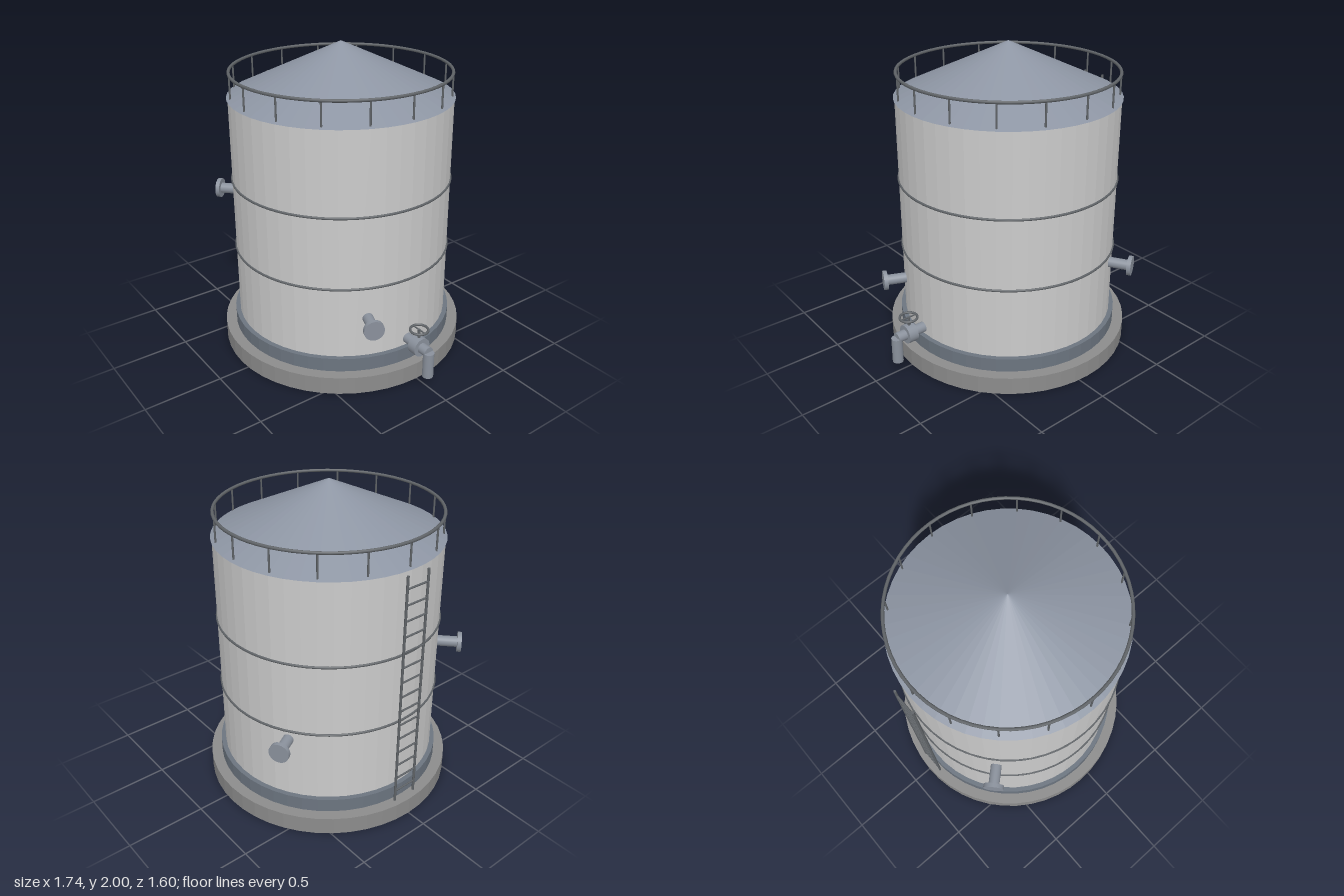
import * as THREE from 'three';

const CX = -0.07; // tank axis
const mat = (color, flatShading = false) => new THREE.MeshStandardMaterial({ color, flatShading });
const shellMat = mat(0xcccccc, true);
const baseMat = mat(0x8c8c8c, true);
const roofMat = mat(0x8d95a3, true);
const curbMat = mat(0x6c7580, true);
const pipeMat = mat(0x8a919c);
const railMat = mat(0x606468);

function add(parent, name, geometry, material, x = 0, y = 0, z = 0) {
  const mesh = new THREE.Mesh(geometry, material);
  mesh.name = name;
  mesh.position.set(x, y, z);
  parent.add(mesh);
  return mesh;
}

// Upright cylinder between two heights
function drum(parent, name, r, y0, y1, material, x = 0, z = 0, sides = 48) {
  return add(parent, name, new THREE.CylinderGeometry(r, r, y1 - y0, sides), material, x, (y0 + y1) / 2, z);
}

// Cylinder lying along x
function lying(parent, name, r, x0, x1, material, y = 0, sides = 20) {
  const geometry = new THREE.CylinderGeometry(r, r, x1 - x0, sides).rotateZ(Math.PI / 2);
  return add(parent, name, geometry, material, (x0 + x1) / 2, y, 0);
}

// Horizontal ring
function ring(parent, name, r, tube, y, material, x = 0, segments = 64) {
  return add(parent, name, new THREE.TorusGeometry(r, tube, 8, segments).rotateX(Math.PI / 2), material, x, y, 0);
}

export function createModel() {
  const model = new THREE.Group();
  model.name = 'storageTank';
  const tank = new THREE.Group();
  tank.name = 'tank';
  tank.position.x = CX;
  model.add(tank);

  // Foundation, curb, shell and conical roof
  drum(tank, 'foundation', 0.8, 0, 0.115, baseMat);
  drum(tank, 'curb', 0.73, 0.115, 0.205, curbMat);
  drum(tank, 'shell', 0.7, 0.205, 1.67, shellMat);
  add(tank, 'roof', new THREE.ConeGeometry(0.708, 0.33, 48), roofMat, 0, 1.835, 0);

  // Stiffening bands
  for (const y of [0.675, 1.14]) ring(tank, 'band', 0.701, 0.008, y, railMat);

  // Guard rail
  ring(tank, 'guardRail', 0.685, 0.01, 1.826, railMat);
  for (let i = 0; i < 16; i++) {
    const a = (i / 16) * Math.PI * 2;
    drum(tank, 'railPost', 0.006, 1.672, 1.826, railMat, 0.685 * Math.cos(a), 0.685 * Math.sin(a), 8);
  }

  // Flanged nozzles: [angle from +x towards +z, height]
  for (const [angle, y] of [[0.4, 0.47], [2.4, 0.965], [-2.1, 0.615]]) {
    const nozzle = new THREE.Group();
    nozzle.name = 'nozzle';
    nozzle.position.y = y;
    nozzle.rotation.y = -angle;
    lying(nozzle, 'nozzlePipe', 0.034, 0.68, 0.83, pipeMat);
    lying(nozzle, 'nozzleFlange', 0.064, 0.822, 0.848, pipeMat);
    tank.add(nozzle);
  }

  // Ladder
  const ladder = new THREE.Group();
  ladder.name = 'ladder';
  ladder.position.x = -0.82;
  model.add(ladder);
  for (const z of [-0.08, 0.08]) drum(ladder, 'ladderRail', 0.008, 0.115, 1.67, railMat, 0, z, 8);
  const rungGeometry = new THREE.CylinderGeometry(0.006, 0.006, 0.16, 8).rotateX(Math.PI / 2);
  for (let i = 0; i < 15; i++) add(ladder, 'ladderRung', rungGeometry, railMat, 0, 0.19 + i * 0.1, 0);

  // Outlet valve with handwheel and spout
  const valve = new THREE.Group();
  valve.name = 'outletValve';
  model.add(valve);
  lying(valve, 'outletPipe', 0.034, 0.6, 0.83, pipeMat, 0.25);
  lying(valve, 'valveBody', 0.061, 0.705, 0.768, pipeMat, 0.25);
  drum(valve, 'spout', 0.035, 0.08, 0.25, pipeMat, 0.83, 0, 20);
  drum(valve, 'valveStem', 0.009, 0.25, 0.367, railMat, 0.736, 0, 10);
  ring(valve, 'handwheel', 0.056, 0.008, 0.365, railMat, 0.736, 28);
  add(valve, 'handwheelSpoke', new THREE.BoxGeometry(0.11, 0.006, 0.008), railMat, 0.736, 0.365, 0);

  return model;
}
